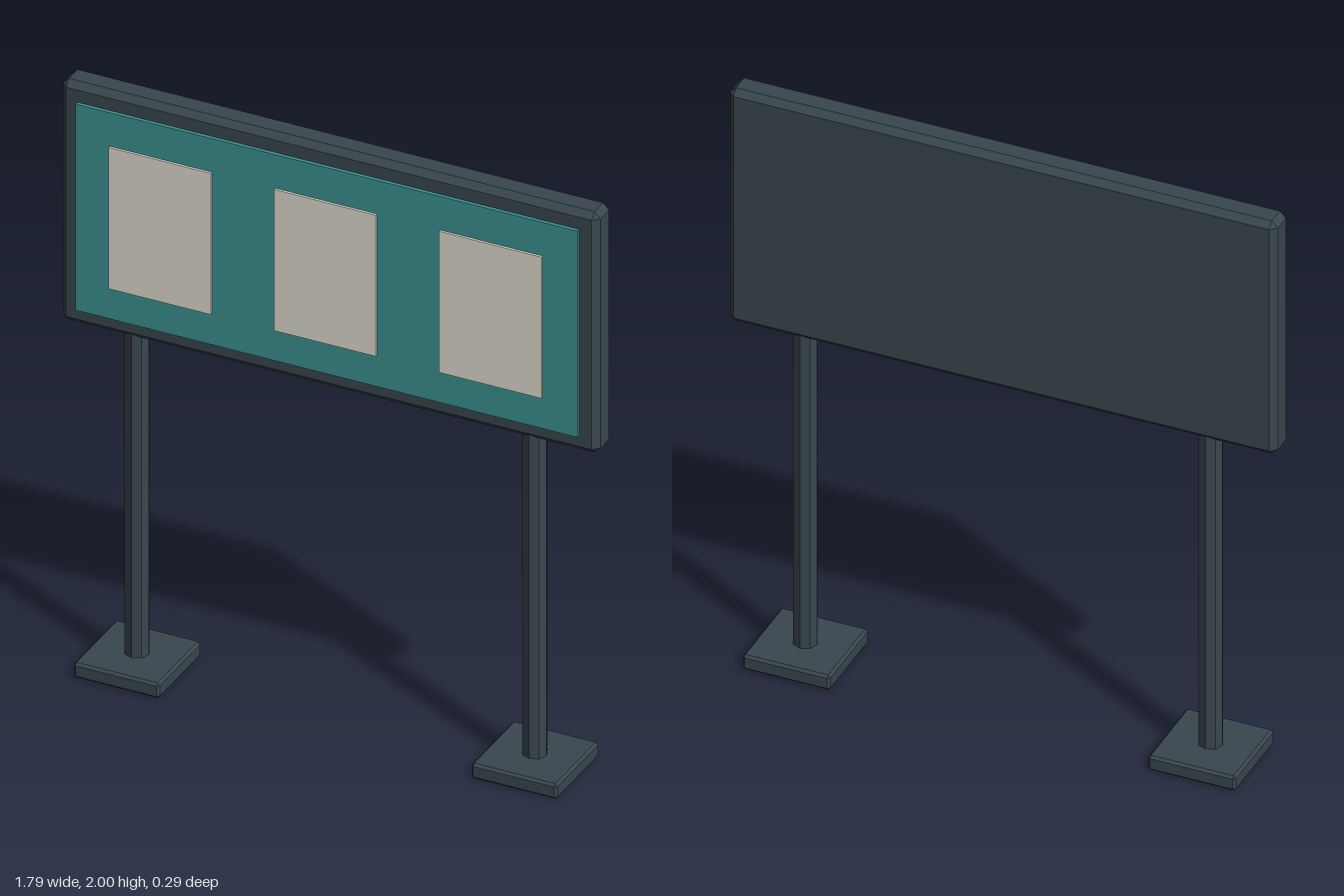
import * as THREE from 'three';
import { ConvexGeometry } from 'three/addons/geometries/ConvexGeometry.js';

// Box with a single flat chamfer of size c on every edge
function chamferBox(w, h, d, c) {
  const half = [w / 2, h / 2, d / 2];
  const points = [];
  for (let axis = 0; axis < 3; axis++) {
    for (const sx of [-1, 1]) for (const sy of [-1, 1]) for (const sz of [-1, 1]) {
      const p = [sx, sy, sz].map((s, i) => s * (half[i] - (i === axis ? 0 : c)));
      points.push(new THREE.Vector3(...p));
    }
  }
  return new ConvexGeometry(points);
}

export function createModel() {
  const model = new THREE.Group();
  model.name = 'noticeBoard';

  const metal = new THREE.MeshStandardMaterial({ color: 0x39474e, flatShading: true });
  metal.name = 'dark slate metal';
  const teal = new THREE.MeshStandardMaterial({ color: 0x3a9292 });
  teal.name = 'teal panel';
  const cream = new THREE.MeshStandardMaterial({ color: 0xe0dccf });
  cream.name = 'cream paper';

  function add(name, geometry, material, x, y, z) {
    const mesh = new THREE.Mesh(geometry, material);
    mesh.name = name;
    mesh.position.set(x, y, z);
    model.add(mesh);
    return mesh;
  }

  // Board body and its display panel
  add('boardFrame', chamferBox(1.79, 0.835, 0.098, 0.02), metal, 0, 1.5825, 0);
  add('displayPanel', new THREE.BoxGeometry(1.67, 0.715, 0.012), teal, 0, 1.5825, 0.058);

  // Three sheets
  const sheet = new THREE.BoxGeometry(0.34, 0.49, 0.008);
  ['right', 'middle', 'left'].forEach((side, i) => {
    add(side + 'Sheet', sheet, cream, (i - 1) * 0.55, 1.58, 0.07);
  });

  // Octagonal posts on square feet
  const post = new THREE.CylinderGeometry(0.039, 0.039, 1.16, 8);
  const foot = chamferBox(0.286, 0.052, 0.286, 0.008);
  for (const [side, s] of [['left', 1], ['right', -1]]) {
    add(side + 'Post', post, metal, s * 0.662, 0.62, 0);
    add(side + 'Foot', foot, metal, s * 0.662, 0.026, 0);
  }

  return model;
}
